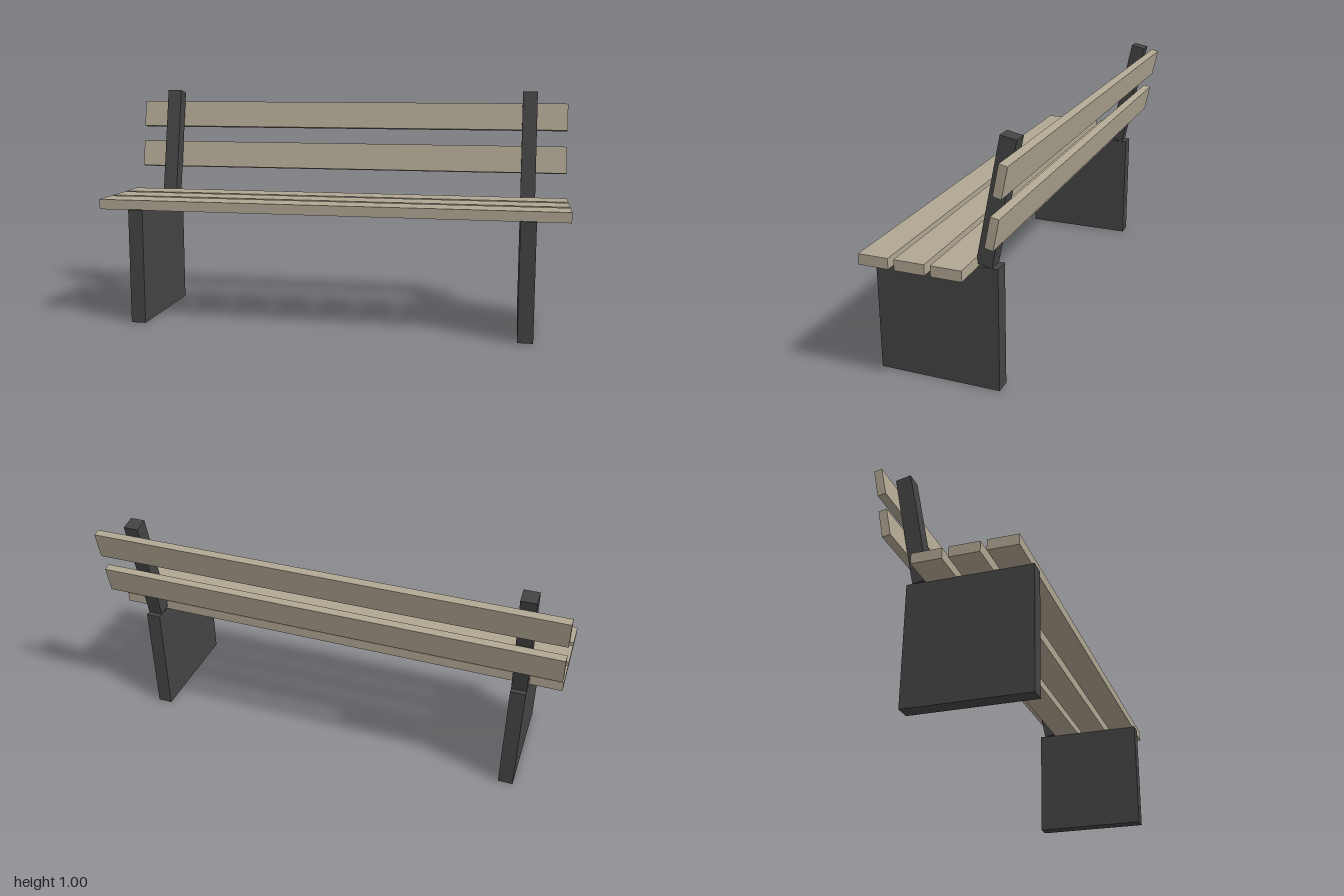
import * as THREE from 'three';

export function createModel() {
  const bench = new THREE.Group();
  bench.name = 'bench';
  const wood = new THREE.MeshStandardMaterial({ color: 0xb0a692 });
  const dark = new THREE.MeshStandardMaterial({ color: 0x444444 });
  const tilt = -0.2; // backrest leans towards -z

  function addBox(name, material, size, position, rotationX = 0) {
    const mesh = new THREE.Mesh(new THREE.BoxGeometry(...size), material);
    mesh.name = name;
    mesh.position.set(...position);
    mesh.rotation.x = rotationX;
    bench.add(mesh);
  }

  // Solid side legs with a leaning backrest post on each
  for (const [side, x] of [['left', 0.832], ['right', -0.832]]) {
    addBox(side + 'Leg', dark, [0.064, 0.5, 0.5], [x, 0.25, 0.05]);
    addBox(side + 'BackPost', dark, [0.064, 0.5, 0.064], [x, 0.751, -0.195], tilt);
  }

  // Three seat planks
  [0.229, 0.084, -0.061].forEach((z, i) =>
    addBox('seatPlank' + (i + 1), wood, [2, 0.043, 0.121], [0, 0.519, z]));

  // Two planks behind the posts
  [[0.696, -0.238], [0.886, -0.271]].forEach(([y, z], i) =>
    addBox('backPlank' + (i + 1), wood, [2, 0.12, 0.033], [0, y, z], tilt));

  return bench;
}
